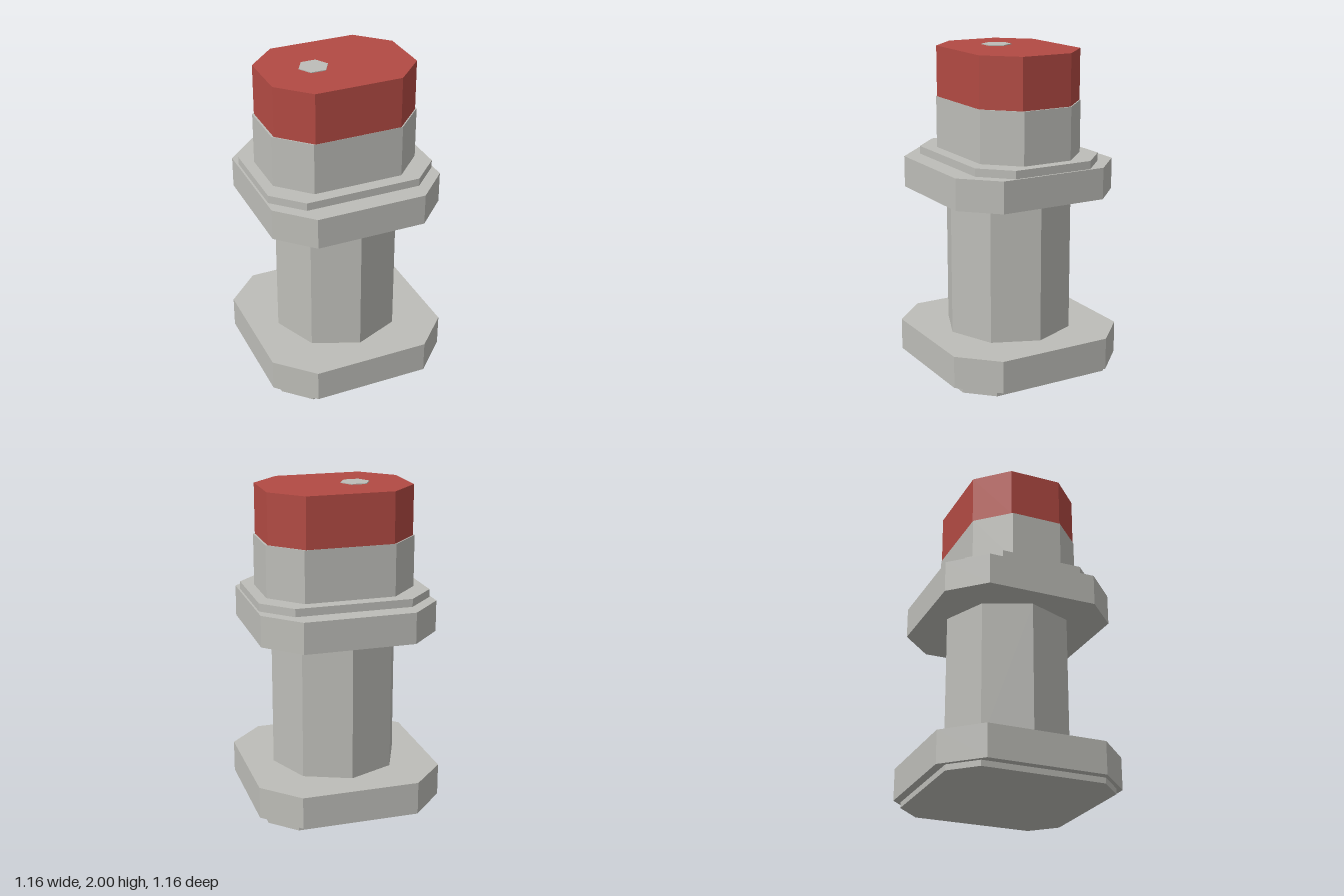
import * as THREE from 'three';

const stone = new THREE.MeshStandardMaterial({ color: 0xbdbdb8 });
stone.name = 'pale grey';
const red = new THREE.MeshStandardMaterial({ color: 0xb24a43 });
red.name = 'brick red';

// Upright prism with a chamfered rectangular plan:
// x, z are half sizes; cx, cz are where the chamfers begin.
function chamferedBlock(name, material, y0, y1, x, z, cx, cz) {
  const plan = new THREE.Shape([
    [x, -cz], [x, cz], [cx, z], [-cx, z], [-x, cz], [-x, -cz], [-cx, -z], [cx, -z],
  ].map(([px, pz]) => new THREE.Vector2(px, pz)));
  const geometry = new THREE.ExtrudeGeometry(plan, { depth: y1 - y0, bevelEnabled: false });
  geometry.rotateX(-Math.PI / 2);
  const mesh = new THREE.Mesh(geometry, material);
  mesh.name = name;
  mesh.position.y = y0;
  return mesh;
}

// Upright faceted prism with one corner on the x axis.
function prism(name, material, sides, radius, y0, y1, x = 0) {
  const geometry = new THREE.CylinderGeometry(radius, radius, y1 - y0, sides).toNonIndexed();
  geometry.rotateY(Math.PI / 2);
  geometry.computeVertexNormals();
  const mesh = new THREE.Mesh(geometry, material);
  mesh.name = name;
  mesh.position.set(x, (y0 + y1) / 2, 0);
  return mesh;
}

export function createModel() {
  const model = new THREE.Group();
  model.name = 'pillar';
  model.add(
    // Base and shaft
    chamferedBlock('foot', stone, 0, 0.035, 0.53, 0.53, 0.38, 0.38),
    chamferedBlock('base', stone, 0.035, 0.235, 0.58, 0.58, 0.365, 0.365),
    prism('shaft', stone, 8, 0.4, 0.235, 1.12),
    // Collar and head
    chamferedBlock('collar', stone, 1.12, 1.313, 0.545, 0.545, 0.342, 0.342),
    chamferedBlock('ledge', stone, 1.313, 1.362, 0.533, 0.427, 0.36, 0.256),
    chamferedBlock('head', stone, 1.362, 1.683, 0.465, 0.348, 0.28, 0.16),
    chamferedBlock('cap', red, 1.683, 1.995, 0.453, 0.347, 0.27, 0.163),
    // Small off-centre stud on the cap
    prism('stud', stone, 6, 0.092, 1.99, 2.0, -0.135),
  );
  return model;
}
